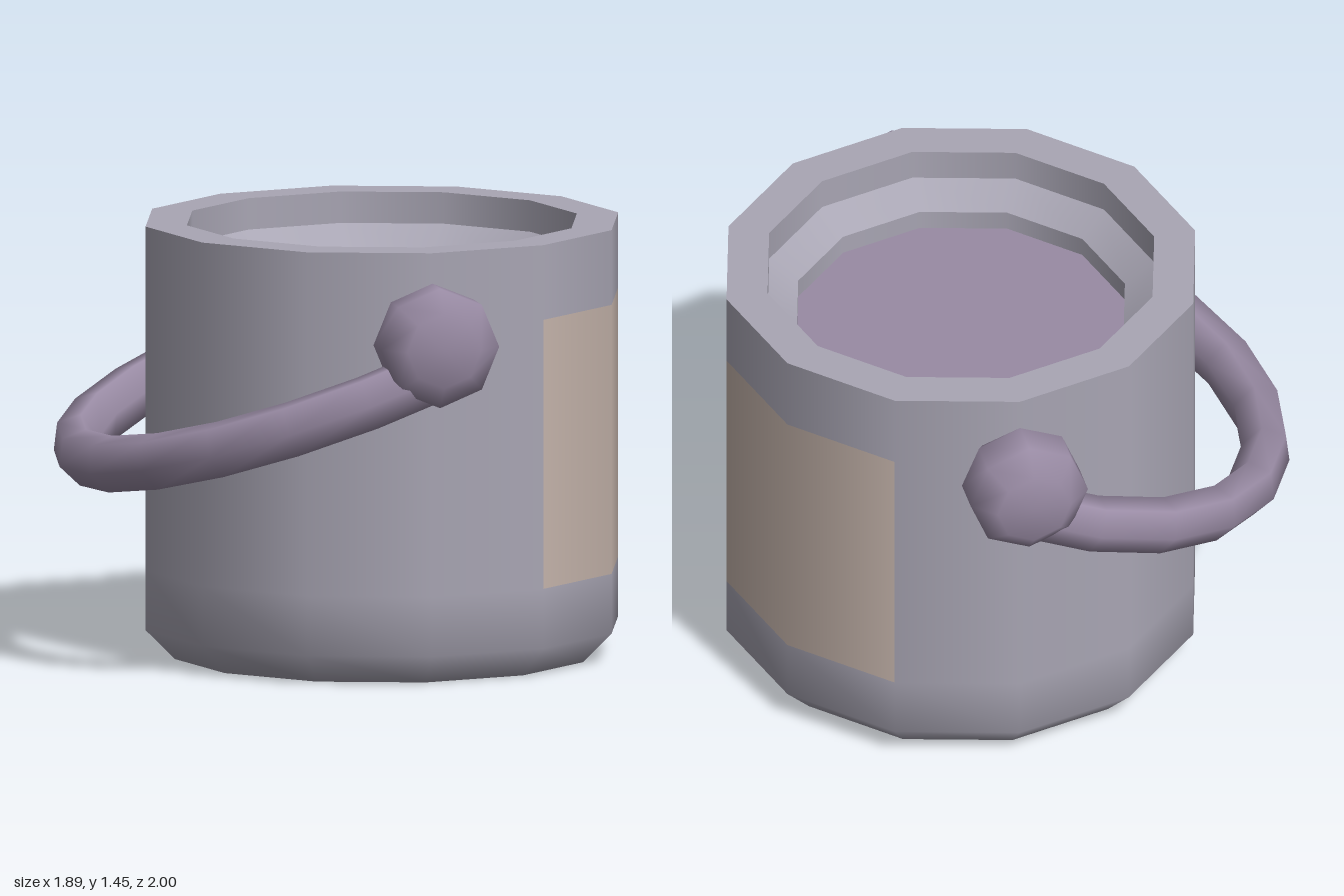
import * as THREE from 'three';

const mat = (name, color) => {
  const m = new THREE.MeshStandardMaterial({ color });
  m.name = name;
  return m;
};

export function createModel() {
  const metal = mat('greyMetal', 0xa9a6b4);
  const purple = mat('mutedPurple', 0x998ba4);
  const paper = mat('labelBeige', 0xc4b3aa);

  const model = new THREE.Group();
  model.name = 'paintBucket';
  const bucket = new THREE.Group();
  bucket.name = 'bucket';
  bucket.position.x = 0.145;
  model.add(bucket);

  const add = (parent, name, geometry, material) => {
    const mesh = new THREE.Mesh(geometry, material);
    mesh.name = name;
    parent.add(mesh);
    return mesh;
  };
  const lathe = (points, segments = 12, start = 0, length = Math.PI * 2) =>
    new THREE.LatheGeometry(points.map(([r, y]) => new THREE.Vector2(r, y)), segments, start, length);

  // Twelve-sided wall: rounded foot, middle band with a label panel, top band
  const R = 0.8, third = Math.PI * 2 / 3;
  add(bucket, 'foot', lathe([[0, 0], [0.7, 0], [R, 0.1], [R, 0.3]]), metal);
  add(bucket, 'wall', lathe([[R, 0.3], [R, 1.2]], 8, Math.PI / 6 + third, third * 2), metal);
  add(bucket, 'label', lathe([[R, 0.3], [R, 1.2]], 4, Math.PI / 6, third), paper);
  add(bucket, 'upperWall', lathe([[R, 1.2], [R, 1.45]]), metal);

  // Rim and stepped mouth, one strip per step to keep the edges sharp
  const mouth = [[R, 1.45], [0.66, 1.45], [0.66, 1.345], [0.56, 1.275], [0.56, 1.21]];
  ['rim', 'innerWall', 'innerSlope', 'innerLip'].forEach((name, i) =>
    add(bucket, name, lathe([mouth[i], mouth[i + 1]]), metal));

  // Paint surface
  const paint = add(bucket, 'paint', new THREE.CircleGeometry(0.56, 12).rotateX(-Math.PI / 2), purple);
  paint.position.y = 1.21;

  // Knobs on the front and back
  const knob = lathe([[0, 0.73], [0.12, 0.73], [0.165, 0.76], [0.2, 0.81],
    [0.2, 0.93], [0.125, 1], [0, 1]], 8).rotateX(Math.PI / 2);
  for (const [name, turn] of [['frontKnob', 0], ['backKnob', Math.PI]]) {
    const mesh = add(bucket, name, knob, purple);
    mesh.position.y = 1.15;
    mesh.rotation.y = turn;
  }

  // Handle: six-sided arc hanging to one side, tilted 20 degrees
  const arc = THREE.MathUtils.degToRad(17.3 * 12);
  const handle = add(model, 'handle', new THREE.TorusGeometry(0.88, 0.084, 6, 12, arc)
    .rotateZ(Math.PI - arc / 2).scale(1, 1, 1.16).rotateX(Math.PI / 2), purple);
  handle.position.set(-0.04, 0.985, 0);
  handle.rotation.z = THREE.MathUtils.degToRad(20);

  return model;
}
